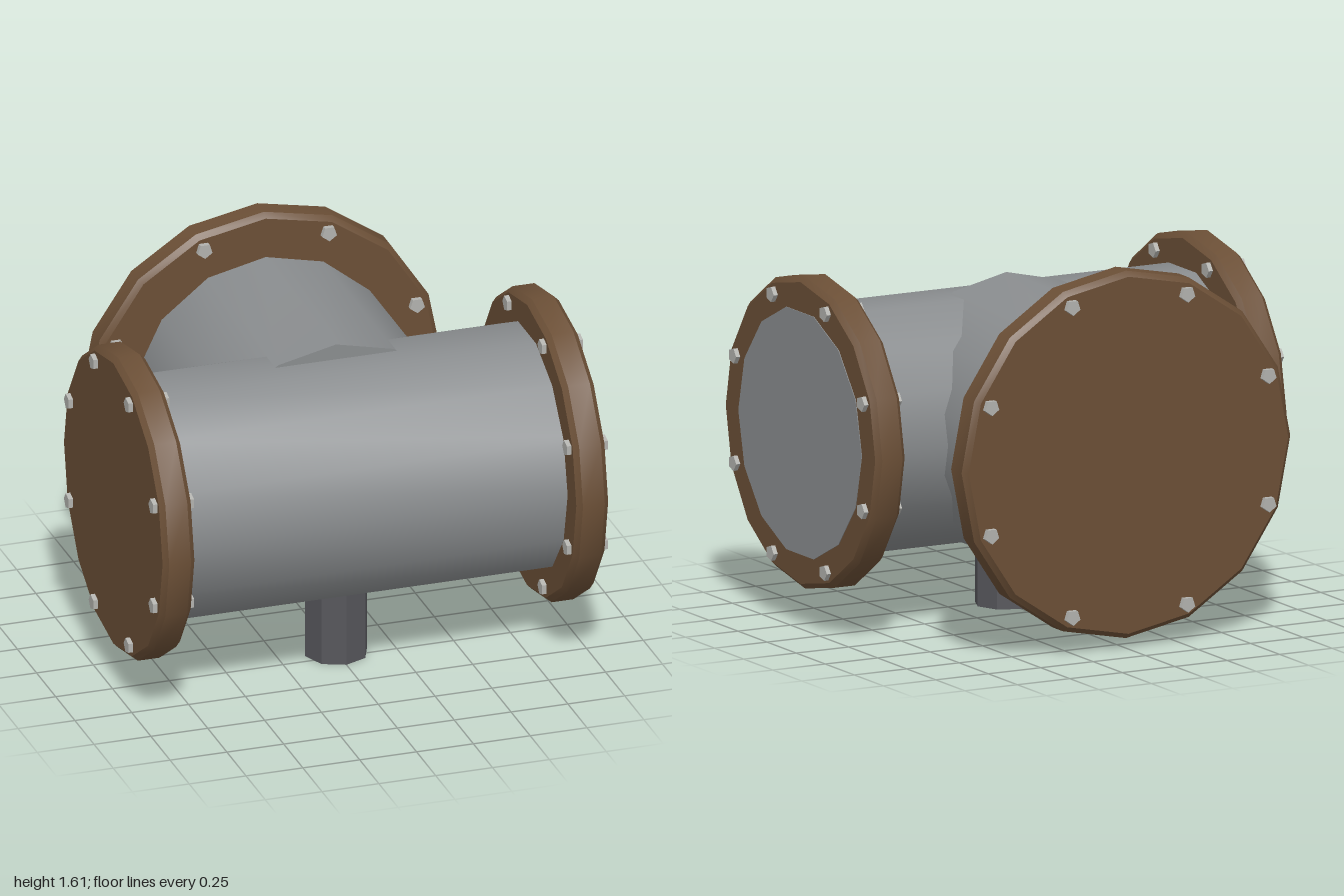
import * as THREE from 'three';
import { toCreasedNormals } from 'three/addons/utils/BufferGeometryUtils.js';

const mat = (name, color) => {
  const m = new THREE.MeshStandardMaterial({ color });
  m.name = name;
  return m;
};

export function createModel() {
  const steel = mat('pipe grey', 0x8a8d8f);
  const rust = mat('flange brown', 0x6b4f36);
  const bolt = mat('bolt light grey', 0xb2b2ae);
  const dark = mat('drain dark grey', 0x56565b);

  const model = new THREE.Group();
  model.name = 'pipeTee';
  const AXIS_Y = 0.826, AXIS_Z = 0.2;

  const add = (parent, name, geometry, material) => {
    const mesh = new THREE.Mesh(toCreasedNormals(geometry, 0.5), material);
    mesh.name = name;
    parent.add(mesh);
    return mesh;
  };

  // Main pipe along x; its left end sits just proud of the flange face
  const x0 = -0.975, x1 = 0.983;
  const main = new THREE.CylinderGeometry(0.53, 0.53, x1 - x0, 14).rotateZ(-Math.PI / 2);
  add(model, 'mainPipe', main, steel).position.set((x0 + x1) / 2, AXIS_Y, AXIS_Z);

  // Branch pipe towards the back, starting at the main axis
  const z1 = -0.84;
  const branch = new THREE.CylinderGeometry(0.585, 0.585, AXIS_Z - z1, 14).rotateX(-Math.PI / 2);
  add(model, 'branchPipe', branch, steel).position.set(0, AXIS_Y, (AXIS_Z + z1) / 2);

  // Octagonal drain stub that the tee stands on
  add(model, 'drainStub', new THREE.CylinderGeometry(0.136, 0.136, 0.4, 8), dark)
    .position.set(0, 0.2, AXIS_Z);

  // Chamfered disc with eight through bolts, built around local y
  const makeFlange = (name, radius, thickness, boltRing) => {
    const group = new THREE.Group();
    group.name = name;
    const h = thickness / 2, c = 0.022;
    const profile = [[0, -h], [radius - c, -h], [radius, c - h], [radius, h - c], [radius - c, h], [0, h]]
      .map(([r, y]) => new THREE.Vector2(r, y));
    add(group, name + 'Disc', new THREE.LatheGeometry(profile, 16), rust);
    for (let i = 0; i < 8; i++) {
      const a = (i + 0.5) * Math.PI / 4;
      const shaft = new THREE.CylinderGeometry(0.034, 0.034, 0.18, 5).rotateY(Math.PI);
      add(group, name + 'Bolt', shaft, bolt)
        .position.set(boltRing * Math.cos(a), 0, boltRing * Math.sin(a));
    }
    model.add(group);
    return group;
  };

  for (const [side, name] of [[1, 'leftFlange'], [-1, 'rightFlange']]) {
    const flange = makeFlange(name, 0.665, 0.14, 0.597);
    flange.rotation.z = -side * Math.PI / 2;
    flange.position.set(side * 0.91, AXIS_Y, AXIS_Z);
  }
  const back = makeFlange('backFlange', 0.783, 0.134, 0.715);
  back.rotation.x = -Math.PI / 2;
  back.position.set(0, AXIS_Y, -0.785);

  return model;
}
